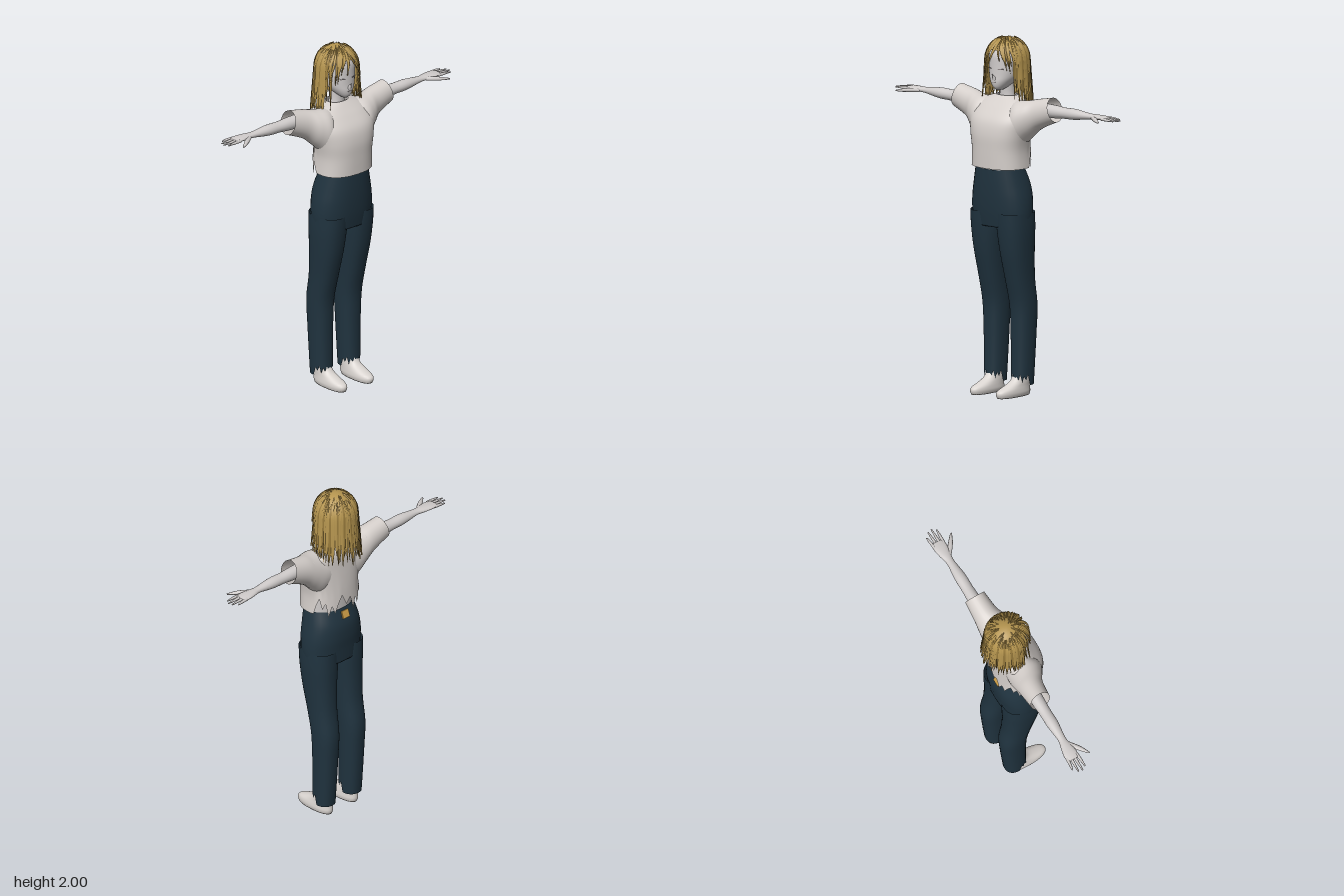
import * as THREE from 'three';
import { mergeVertices } from 'three/addons/utils/BufferGeometryUtils.js';

const mat = (name, color, side = THREE.FrontSide) => {
  const m = new THREE.MeshStandardMaterial({ color, side });
  m.name = name;
  return m;
};

// Smooth grid from fn(u, v) -> [x, y, z], with shared vertices
function surface(fn, nu, nv) {
  const pos = [], idx = [];
  for (let j = 0; j <= nv; j++)
    for (let i = 0; i <= nu; i++) pos.push(...fn(i / nu, j / nv));
  for (let j = 0; j < nv; j++)
    for (let i = 0; i < nu; i++) {
      const a = j * (nu + 1) + i, b = a + nu + 1;
      idx.push(a, a + 1, b + 1, a, b + 1, b);
    }
  const g = new THREE.BufferGeometry();
  g.setAttribute('position', new THREE.Float32BufferAttribute(pos, 3));
  g.setIndex(idx);
  const merged = mergeVertices(g, 1e-5);
  merged.computeVertexNormals();
  return merged;
}

// Catmull-Rom through rows of numbers
function spline(rows, t) {
  const n = rows.length - 1, i = Math.min(Math.floor(t * n), n - 1), f = t * n - i;
  const at = k => rows[Math.max(0, Math.min(n, k))];
  return rows[0].map((_, c) => {
    const [p, q, r, s] = [at(i - 1)[c], at(i)[c], at(i + 1)[c], at(i + 2)[c]];
    return q + 0.5 * f * (r - p + f * (2 * p - 5 * q + 4 * r - s + f * (3 * (q - r) + s - p)));
  });
}
const bulge = (x, e) => Math.sign(x) * Math.pow(Math.abs(x), 2 / e);

// Upright body form, rows of [y, centreX, halfWidth, frontZ, backZ]
function loftY(rows, { seg = 32, nv = 24, e = 2, hem = null, capBottom = false, capTop = false } = {}) {
  const lo = capBottom ? 1 : 0, total = nv + lo + (capTop ? 1 : 0);
  return surface((u, v) => {
    const k = Math.round(v * total) - lo, t = Math.max(0, Math.min(1, k / nv));
    const [y, cx, rx, zf, zb] = spline(rows, t);
    const s = k < 0 || k > nv ? 0 : 1, a = u * Math.PI * 2;
    const lift = hem ? hem(a, Math.round(u * seg) % seg) * (1 - t) ** 3 : 0;
    return [cx + s * rx * bulge(Math.sin(a), e), y + lift,
      (zf + zb) / 2 + s * (zf - zb) / 2 * bulge(Math.cos(a), e)];
  }, seg, total);
}

// Sideways limb, rows of [x, topY, bottomY, frontZ, backZ]; slant shears the end
function loftX(rows, side, { seg = 20, nv = 20, slant = 0, cap = false } = {}) {
  const total = nv + (cap ? 1 : 0);
  return surface((u, v) => {
    const k = Math.round(v * total), t = Math.min(1, k / nv), s = k > nv ? 0 : 1;
    const [x, yt, yb, zf, zb] = spline(rows, t), a = side * u * Math.PI * 2;
    return [side * (x - slant * t * t * Math.cos(a)),
      (yt + yb) / 2 + s * (yt - yb) / 2 * Math.cos(a), (zf + zb) / 2 + s * (zf - zb) / 2 * Math.sin(a)];
  }, seg, total);
}

// Hair path: s from 0 (crown) to 1 (widest), then hanging down
function hairPoint(a, s, out = 1) {
  const phi = Math.min(s, 1) * Math.PI / 2, drop = Math.max(0, s - 1);
  const r = (Math.sin(phi) + 0.16 * drop) * out;
  return [Math.sin(a) * 0.118 * r, 1.87 + 0.126 * Math.cos(phi) * out - drop * 0.31, -0.02 + Math.cos(a) * 0.12 * r];
}

export function createModel() {
  const skin = mat('skin', 0xcfcbca), shirt = mat('shirt cloth', 0xd5cfcb, THREE.DoubleSide);
  const shoeMat = mat('shoe white', 0xdad5d1), denim = mat('dark denim', 0x20333f, THREE.DoubleSide);
  const hair = mat('hair', 0xb5954f, THREE.DoubleSide), hairDark = mat('hair shade', 0x95783a, THREE.DoubleSide);
  const patch = mat('leather patch', 0xd0a048), line = mat('face lines', 0x8d8585);
  const model = new THREE.Group();
  const add = (name, geo, m) => {
    const mesh = new THREE.Mesh(geo, m);
    mesh.name = name;
    model.add(mesh);
    return mesh;
  };
  let seed = 11;
  const rnd = (a = 0, b = 1) => {
    seed = (seed * 16807) % 2147483647;
    return a + (b - a) * seed / 2147483647;
  };

  // Trousers
  add('trouserSeat', loftY([
    [0.95, 0, 0.183, 0.128, -0.095], [1.03, 0, 0.188, 0.14, -0.1], [1.11, 0, 0.183, 0.147, -0.106],
    [1.19, 0, 0.167, 0.15, -0.1], [1.275, 0, 0.145, 0.15, -0.068]], { e: 2.3, capBottom: true }), denim);
  add('backPatch', new THREE.BoxGeometry(0.05, 0.045, 0.008), patch).position.set(-0.01, 1.24, -0.087);
  model.children.at(-1).rotation.x = 0.35;

  for (const side of [1, -1]) {
    const tag = side > 0 ? 'left' : 'right';
    add(tag + 'TrouserLeg', loftY([
      [0.06, 0.1, 0.057, 0.034, -0.095], [0.2, 0.1, 0.06, 0.032, -0.105], [0.35, 0.1, 0.064, 0.033, -0.114],
      [0.5, 0.1, 0.069, 0.04, -0.12], [0.65, 0.098, 0.073, 0.073, -0.1], [0.8, 0.097, 0.083, 0.108, -0.094],
      [0.93, 0.095, 0.092, 0.128, -0.096], [1.03, 0.094, 0.092, 0.137, -0.097]].map(r => [r[0], r[1] * side, ...r.slice(2)]),
    { nv: 28, e: 2.3, hem: (a, i) => Math.cos(a) > 0.1 ? [0.02, 0.05, 0.03, 0.06][i % 4] : 0 }), denim);

    // Shoe with a flat sole
    add(tag + 'Shoe', loftY([
      [0, 0.096, 0.042, 0.16, -0.08], [0.02, 0.096, 0.047, 0.168, -0.086], [0.04, 0.096, 0.045, 0.158, -0.085],
      [0.06, 0.096, 0.041, 0.105, -0.083], [0.085, 0.097, 0.038, 0.05, -0.08], [0.13, 0.098, 0.034, 0.02, -0.072]]
      .map(r => [r[0], r[1] * side, ...r.slice(2)]), { nv: 15, e: 2.3, capBottom: true, capTop: true }), shoeMat);

    // Sleeve, arm and hand
    add(tag + 'Sleeve', loftX([
      [0.06, 1.65, 1.42, 0.07, -0.08], [0.13, 1.657, 1.4, 0.115, -0.085], [0.19, 1.663, 1.455, 0.095, -0.084],
      [0.25, 1.675, 1.51, 0.062, -0.08], [0.355, 1.693, 1.56, 0.045, -0.075]], side, { seg: 28, slant: 0.018 }), shirt);
    add(tag + 'Arm', loftX([
      [0.2, 1.655, 1.575, 0.02, -0.065], [0.34, 1.652, 1.578, 0.014, -0.06], [0.42, 1.647, 1.585, 0.01, -0.056],
      [0.5, 1.648, 1.588, 0.01, -0.056], [0.6, 1.637, 1.603, -0.002, -0.047], [0.65, 1.636, 1.606, 0.003, -0.058],
      [0.7, 1.634, 1.611, 0.01, -0.068], [0.74, 1.629, 1.614, 0.007, -0.066]], side, { nv: 28, cap: true }), skin);
    [[0.79, -0.058, -0.066], [0.815, -0.038, -0.042], [0.82, -0.018, -0.018], [0.805, 0.002, 0.006]].forEach(([tip, z, zt], i) =>
      add(tag + 'Finger' + (i + 1), loftX([
        [0.715, 1.63, 1.612, z + 0.009, z - 0.009], [0.76, 1.628, 1.613, (z + zt) / 2 + 0.008, (z + zt) / 2 - 0.008],
        [tip, 1.621, 1.615, zt + 0.004, zt - 0.004]], side, { seg: 8, nv: 6, cap: true }), skin));
    add(tag + 'Thumb', loftX([
      [0.635, 1.629, 1.606, 0.002, -0.03], [0.685, 1.628, 1.606, 0.04, 0.005], [0.72, 1.623, 1.606, 0.059, 0.034],
      [0.748, 1.617, 1.609, 0.071, 0.06]], side, { seg: 8, nv: 9, cap: true }), skin);

    // Lash line and ear
    const lash = add(tag + 'Lash', new THREE.BoxGeometry(0.032, 0.004, 0.006), line);
    lash.position.set(side * 0.039, 1.828, 0.081);
    lash.rotation.y = side * 0.4;
    const ear = add(tag + 'Ear', new THREE.SphereGeometry(0.025, 10, 8), skin);
    ear.scale.set(0.4, 1, 0.7);
    ear.position.set(side * 0.088, 1.815, -0.01);
  }

  // Shirt body with a torn back hem, and the waist beneath
  const tears = [0, 0.06, 0.1, 0.035, 0.07, -0.015, 0.05];
  add('shirtBody', loftY([
    [1.28, 0, 0.17, 0.165, -0.105], [1.38, 0, 0.165, 0.168, -0.102], [1.47, 0, 0.178, 0.168, -0.097],
    [1.545, 0, 0.19, 0.15, -0.092], [1.605, 0, 0.185, 0.105, -0.088], [1.645, 0, 0.145, 0.066, -0.083],
    [1.675, 0, 0.065, 0.035, -0.07]], { seg: 48, nv: 30, e: 2.4, hem: (a, i) => Math.cos(a) < -0.2 ? tears[i % 7] : 0 }), shirt);
  add('waist', loftY([
    [1.22, 0, 0.135, 0.135, -0.06], [1.3, 0, 0.138, 0.142, -0.062], [1.45, 0, 0.13, 0.12, -0.065]],
  { nv: 8, e: 2.3, capTop: true }), skin);

  // Neck, head and face
  add('neck', loftY([
    [1.62, 0, 0.06, 0.03, -0.065], [1.68, 0, 0.043, 0.022, -0.06], [1.77, 0, 0.043, 0.03, -0.06]], { nv: 8 }), skin);
  add('head', loftY([
    [1.708, 0, 0.018, 0.07, 0.02], [1.725, 0, 0.038, 0.086, -0.02], [1.755, 0, 0.062, 0.093, -0.06],
    [1.79, 0, 0.08, 0.09, -0.085], [1.85, 0, 0.089, 0.088, -0.1], [1.91, 0, 0.087, 0.083, -0.1],
    [1.96, 0, 0.06, 0.045, -0.07], [1.975, 0, 0.03, 0.02, -0.04]], { e: 2.15, capBottom: true, capTop: true }), skin);
  const nose = add('nose', new THREE.ConeGeometry(0.013, 0.04, 10), skin);
  nose.position.set(0, 1.787, 0.098);
  nose.rotation.x = 0.55;
  add('mouth', new THREE.BoxGeometry(0.024, 0.003, 0.006), line).position.set(0, 1.753, 0.091);

  // Hair cap: high hairline in front, long ragged curtain behind
  add('hairCap', surface((u, v) => {
    const a = (u * 2 - 1) * Math.PI, back = THREE.MathUtils.smoothstep(Math.abs(a), 0.85, 1.55);
    const ragged = (Math.round(u * 64) % 3) * 0.09;
    return hairPoint(a, (0.68 + back * (1.0 - ragged)) * (1 - v));
  }, 64, 24), hair);

  // Tapering ridged lock lying over the cap
  const lock = (a, s0, s1, w, sway, m) => add('hairLock', surface((u, v) => {
    const k = 1 - v, side = u * 2 - 1;
    const width = w * (0.45 + 0.55 * Math.sin(Math.PI * Math.min(k, 0.5))) * (1 - k ** 4);
    return hairPoint(a + sway * k * k + side * width, s0 + (s1 - s0) * k, 1.01 + 0.05 * (1 - Math.abs(side)) + 0.03 * k);
  }, 2, 10), m);
  const shade = i => (i % 4 === 2 ? hairDark : hair);
  for (let i = 0; i < 46; i++) // back and sides
    lock(1.3 + (i / 45) * (2 * Math.PI - 2.6), rnd(0.2, 0.6), rnd(1.68, 1.92), rnd(0.07, 0.12), rnd(-0.08, 0.08), shade(i));
  for (let i = 0; i < 18; i++) { // fringe swept away from the parting
    const a = -0.85 + (i / 17) * 1.7;
    lock(a, rnd(0.1, 0.3), rnd(0.86, 1.08) + Math.abs(a) * 0.22, rnd(0.06, 0.1), (a < 0.15 ? -1 : 1) * rnd(0.1, 0.35), shade(i));
  }
  for (let i = 0; i < 12; i++) // strands framing the face
    lock((i % 2 ? 1 : -1) * rnd(0.95, 1.35), 0.3, rnd(1.4, 1.72), rnd(0.05, 0.09), 0, shade(i));
  return model;
}
